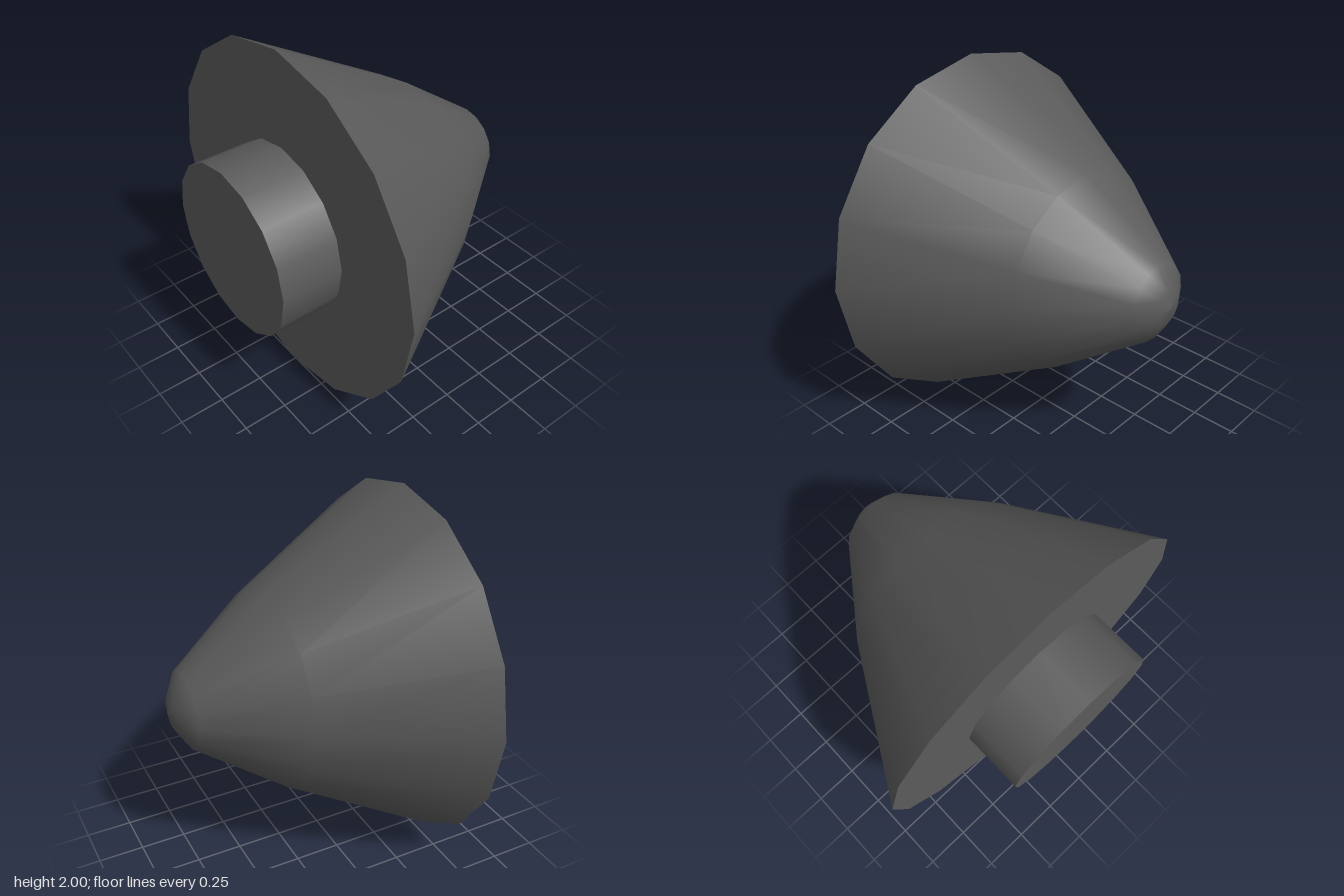
import * as THREE from 'three';

const SIDES = 16;
const FLANGE_Z = 0.505; // plane where the cone meets the stem
const END_Z = 0.845;

export function createModel() {
  const model = new THREE.Group();
  model.name = 'roundedConeWithStem';
  const darkGrey = new THREE.MeshStandardMaterial({ color: 0x5a5a5a });
  darkGrey.name = 'dark grey';

  const add = (name, geometry) => {
    const mesh = new THREE.Mesh(geometry, darkGrey);
    mesh.name = name;
    mesh.position.y = 1;
    model.add(mesh);
  };

  // Smooth cone with a rounded nose, pointing to the back
  const profile = [
    [1, -FLANGE_Z], [0.55, 0.29], [0.21, 0.76], [0.093, 0.827], [0, END_Z],
  ].map(([r, h]) => new THREE.Vector2(r, h));
  add('coneShell', new THREE.LatheGeometry(profile, SIDES).rotateX(-Math.PI / 2));

  // Flat front face of the cone
  add('coneBase', new THREE.CircleGeometry(1, SIDES).translate(0, 0, FLANGE_Z));

  // Short stem standing out of the base
  const length = END_Z - FLANGE_Z;
  add('stem', new THREE.CylinderGeometry(0.47, 0.47, length, SIDES)
    .rotateX(Math.PI / 2)
    .translate(0, 0, FLANGE_Z + length / 2));

  return model;
}
